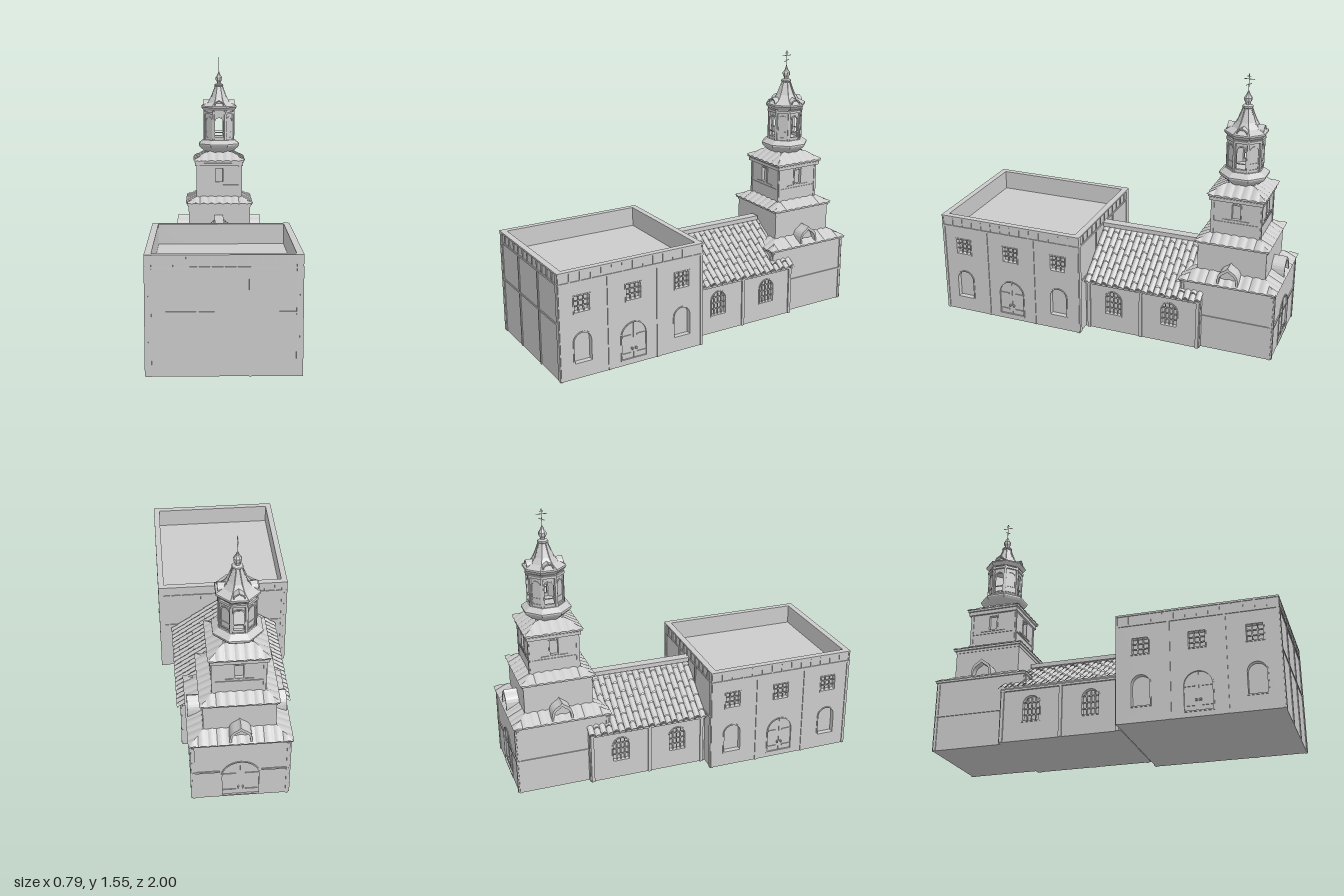
import * as THREE from 'three';

const mat = new THREE.MeshStandardMaterial({ color: 0xcccccc, flatShading: true, side: THREE.DoubleSide });

function add(parent, name, geo, x = 0, y = 0, z = 0) {
  const m = new THREE.Mesh(geo, mat);
  m.name = name;
  m.position.set(x, y, z);
  parent.add(m);
  return m;
}
// box standing on y
const box = (p, name, w, h, d, x, y, z) => add(p, name, new THREE.BoxGeometry(w, h, d), x, y + h / 2, z);

function group(parent, name, x = 0, y = 0, z = 0, turn = 0) {
  const g = new THREE.Group();
  g.name = name;
  g.position.set(x, y, z);
  g.rotation.y = turn;
  parent.add(g);
  return g;
}

const extrude = (shape, depth) => new THREE.ExtrudeGeometry(shape, { depth, bevelEnabled: false, curveSegments: 8 });

// rectangle or round-headed outline; u is the centre, y the foot
function outline(Type, { u = 0, y = 0, w, h, arch }, grow = 0) {
  const s = new Type(), r = w / 2 + grow, b = y - grow, t = y + h + grow;
  s.moveTo(u - r, b);
  s.lineTo(u + r, b);
  if (arch) {
    s.lineTo(u + r, t - r);
    s.absarc(u, t - r, r, 0, Math.PI, false);
  } else {
    s.lineTo(u + r, t);
    s.lineTo(u - r, t);
  }
  s.lineTo(u - r, b);
  return s;
}

// wall whose outer face is local z = 0, with framed, barred or door-filled openings
function wall(g, w, h, depth, openings) {
  const s = outline(THREE.Shape, { w, h });
  openings.forEach(o => s.holes.push(outline(THREE.Path, o)));
  add(g, 'wall', extrude(s, depth), 0, 0, -depth);
  openings.forEach(o => {
    frame(g, o);
    const n = o.bars || 0;
    for (let i = 1; i < n; i++) {
      const k = i / n - 0.5;
      box(g, 'windowBar', 0.006, o.h - (o.arch ? 0.012 : 0), 0.006, o.u + k * o.w, o.y, -0.01);
      box(g, 'windowBar', o.w, 0.006, 0.006, o.u, o.y + o.h * (k + 0.5) - 0.003, -0.01);
    }
    if (o.door) {
      add(g, 'doorLeaf', extrude(outline(THREE.Shape, o), 0.01), 0, 0, -0.015);
      box(g, 'doorSeam', 0.004, o.h, 0.004, o.u, o.y, -0.004);
      for (const s of [-1, 1]) {
        box(g, 'doorKnob', 0.008, 0.012, 0.014, o.u + s * 0.012, o.y + 0.05, 0.001);
        for (const f of [0.12, 0.62]) box(g, 'doorHinge', o.w * 0.35, 0.008, 0.005, o.u + s * o.w * 0.3, o.y + o.h * f, -0.003);
      }
    }
  });
}
function frame(g, o, t = 0.007) {
  const s = outline(THREE.Shape, o, t);
  s.holes.push(outline(THREE.Path, o));
  add(g, 'openingFrame', extrude(s, 0.004));
}

// square hipped roof skirt; ripples run straight up each slope and are cut at the hips
function hipRoof(parent, a, b, y0, y1) {
  const g = group(parent, 'hipRoof'), pitch = 0.05;
  for (let k = 0; k < 4; k++) {
    const geo = new THREE.PlaneGeometry(2 * a, 1, 72, 8), p = geo.attributes.position;
    for (let i = 0; i < p.count; i++) {
      const v = p.getY(i) + 0.5, half = a + (b - a) * v;
      const x = THREE.MathUtils.clamp(p.getX(i), -half, half);
      p.setXYZ(i, x, y0 + (y1 - y0) * v + 0.007 * Math.abs(Math.cos(x * Math.PI / pitch)), half);
    }
    add(g, 'roofSlope', geo).rotation.y = k * Math.PI / 2;
  }
  box(g, 'eaves', 2 * a - 0.012, 0.012, 2 * a - 0.012, 0, y0 - 0.008, 0);
  box(g, 'cornice', 2 * a - 0.03, 0.015, 2 * a - 0.03, 0, y0 - 0.022, 0);
}

// small keel-arched dormer facing +z, its front at local z = 0
function keel(Type, w, h) {
  const s = new Type();
  s.moveTo(-w, 0);
  s.bezierCurveTo(-w * 1.1, h * 0.85, -w * 0.4, h * 0.7, 0, h);
  s.bezierCurveTo(w * 0.4, h * 0.7, w * 1.1, h * 0.85, w, 0);
  s.lineTo(-w, 0);
  return s;
}
function dormer(parent, w, h, depth, x, y, z, turn) {
  const g = group(parent, 'dormer', x, y, z, turn), s = keel(THREE.Shape, w, h);
  s.holes.push(keel(THREE.Path, w * 0.82, h * 0.82));
  add(g, 'dormerHood', extrude(s, depth), 0, 0, -depth);
  add(g, 'dormerPanel', extrude(keel(THREE.Shape, w * 0.82, h * 0.82), depth * 0.6), 0, 0, -depth);
}

// eight-sided turned form; radii are measured to the flat sides
function octagon(parent, name, pts) {
  const k = 1 / Math.cos(Math.PI / 8);
  return add(parent, name, new THREE.LatheGeometry(pts.map(([r, y]) => new THREE.Vector2(r * k, y)), 8, Math.PI / 8));
}

// one slope of half-round tiles in columns, with alternate columns staggered
function tiledSlope(parent, s, z0, z1) {
  const rows = 4, columns = 20, step = (z1 - z0) / columns, g = group(parent, 'tiledSlope');
  for (let c = 0; c < columns; c++) {
    for (let r = 0; r <= rows; r++) {
      const geo = new THREE.PlaneGeometry(1, 1, 6, 1), p = geo.attributes.position;
      for (let i = 0; i < p.count; i++) {
        const low = p.getY(i) < 0, row = r + (low ? 1 : 0) - (c % 2 ? 0.5 : 0.1);
        const t = THREE.MathUtils.clamp(row / rows, 0, 1), across = p.getX(i) + 0.5;
        const y = 0.53 - 0.232 * t + 0.012 * Math.sin(across * Math.PI) + (low ? 0.005 : 0);
        p.setXYZ(i, s * 0.322 * t, y, z0 + (c + across) * step);
      }
      add(g, 'tile', geo);
    }
  }
}

function buildHall(root) {
  const g = group(root, 'hall', 0, 0, 0.56);
  box(g, 'hallCore', 0.72, 0.5, 0.82, 0, 0, 0);
  for (const s of [-1, 1]) {
    const side = group(g, 'hallSide', s * 0.387, 0, 0, s * Math.PI / 2), ops = [];
    for (const u of [-0.305, 0, 0.305]) {
      ops.push({ u, y: 0.38, w: 0.088, h: 0.09, bars: 3 });
      ops.push(u ? { u, y: 0.09, w: 0.1, h: 0.17, arch: true } : { u, y: 0.035, w: 0.15, h: 0.21, arch: true, door: true });
    }
    wall(side, 0.88, 0.615, 0.03, ops);
    trim(side, 0.88, [-0.43, -0.15, 0.15, 0.43], 14);
    const end = group(g, 'hallEnd', 0, 0, s * 0.436, s > 0 ? 0 : Math.PI);
    wall(end, 0.72, 0.615, 0.03, []);
    trim(end, 0.774, [-0.38, -0.13, 0.13, 0.38], 12);
    box(end, 'middleBand', 0.77, 0.01, 0.004, 0, 0.32, 0.002);
  }
}
// pilasters and panelled frieze on a hall face
function trim(g, w, posts, n) {
  posts.forEach(u => box(g, 'pilaster', 0.014, 0.545, 0.005, u, 0, 0.0025));
  box(g, 'friezeBand', w, 0.01, 0.005, 0, 0.545, 0.0025);
  box(g, 'topBand', w, 0.01, 0.005, 0, 0.605, 0.0025);
  for (let i = 0; i <= n; i++) box(g, 'friezeBlock', 0.008, 0.05, 0.004, (i / n - 0.5) * (w - 0.012), 0.555, 0.002);
}

function buildNave(root) {
  const g = group(root, 'nave'), L = 0.695, zc = -0.2275;
  const s = new THREE.Shape([[-0.27, 0], [0.27, 0], [0.27, 0.325], [0, 0.522], [-0.27, 0.325]].map(p => new THREE.Vector2(...p)));
  add(g, 'naveCore', extrude(s, L), 0, 0, zc - L / 2);
  for (const k of [-1, 1]) {
    const side = group(g, 'naveSide', k * 0.293, 0, zc, k * Math.PI / 2);
    const at = z => -k * (z - zc);
    wall(side, L, 0.31, 0.025, [-0.05, -0.39].map(z => ({ u: at(z), y: 0.11, w: 0.095, h: 0.142, arch: true, bars: 4 })));
    for (const z of [0.1, -0.22, -0.56]) box(side, 'pilaster', 0.018, 0.3, 0.008, at(z), 0, 0.004);
    box(side, 'eavesBand', L, 0.012, 0.01, 0, 0.288, 0.005);
    tiledSlope(g, k, -0.58, 0.12);
  }
  box(g, 'ridgeCap', 0.055, 0.025, 0.63, -0.004, 0.53, -0.195);
}

function buildTower(root) {
  const g = group(root, 'tower', 0, 0, -0.715), Q = Math.PI / 2;
  // square tiers
  box(g, 'baseCore', 0.49, 0.4, 0.49, 0, 0, 0);
  box(g, 'secondTier', 0.39, 0.25, 0.39, 0, 0.38, 0);
  box(g, 'thirdCore', 0.25, 0.28, 0.25, 0, 0.62, 0);
  hipRoof(g, 0.28, 0.19, 0.408, 0.455);
  hipRoof(g, 0.213, 0.14, 0.625, 0.662);
  hipRoof(g, 0.165, 0.078, 0.893, 0.945);
  for (let k = 0; k < 4; k++) {
    const a = k * Q, sx = Math.sin(a), cz = Math.cos(a);
    const base = group(g, 'baseFace', sx * 0.266, 0, cz * 0.266, a);
    wall(base, 0.532, 0.4, 0.021, k === 2 ? [{ u: 0, y: 0.012, w: 0.2, h: 0.25, arch: true, door: true }] : []);
    if (k !== 2) box(base, 'baseBand', 0.53, 0.01, 0.006, 0, 0.195, 0.003);
    else for (const s of [-1, 1]) box(base, 'baseBand', 0.15, 0.01, 0.006, s * 0.188, 0.195, 0.003);
    for (const s of [-1, 1]) box(base, 'cornerStrip', 0.015, 0.39, 0.005, s * 0.255, 0, 0.0025);
    // keel dormers, except above the nave
    if (k) dormer(g, 0.06, 0.112, 0.09, sx * 0.27, 0.41, cz * 0.27, a);
    const upper = group(g, 'thirdFace', sx * 0.141, 0.64, cz * 0.141, a);
    wall(upper, 0.282, 0.25, 0.016, [{ u: 0, y: 0.12, w: 0.046, h: 0.085 }]);
    box(upper, 'sillBand', 0.15, 0.007, 0.005, 0, 0.109, 0.0025);
    box(upper, 'lowerBand', 0.26, 0.006, 0.004, 0, 0.094, 0.002);
    for (const s of [-1, 1]) box(upper, 'pilaster', 0.014, 0.24, 0.004, s * 0.132, 0, 0.002);
    box(upper, 'upperCornice', 0.305, 0.018, 0.012, 0, 0.222, 0.006);
  }
  // flared octagonal gallery
  octagon(g, 'gallery', [[0.08, 0.9], [0.082, 0.94], [0.1, 0.955], [0.122, 0.975], [0.13, 0.988], [0.13, 0.996], [0.098, 1.02], [0, 1.02]]);
  // belfry, open to four sides with blind panels between
  const side = 0.186 * Math.tan(Math.PI / 8);
  for (let k = 0; k < 8; k++) {
    const a = k * Math.PI / 4;
    const f = group(g, 'belfryFace', Math.sin(a) * 0.091, 1.01, Math.cos(a) * 0.091, a);
    const o = { u: 0, y: 0.028, w: 0.052, h: 0.126, arch: true };
    if (k % 2) {
      wall(f, side, 0.21, 0.012, []);
      frame(f, o);
    } else wall(f, side, 0.21, 0.012, [o]);
    box(f, 'belfryRail', 0.052, 0.005, 0.006, 0, 0.058, 0);
    box(f, 'belfryCornice', side + 0.006, 0.014, 0.012, 0, 0.178, 0.004);
    const b = a + Math.PI / 8, r = 0.091 / Math.cos(Math.PI / 8);
    box(g, 'belfryPost', 0.014, 0.2, 0.012, Math.sin(b) * r, 1.015, Math.cos(b) * r).rotation.y = b;
    if (k % 2 === 0) dormer(g, 0.03, 0.042, 0.06, Math.sin(a) * 0.102, 1.235, Math.cos(a) * 0.102, a);
  }
  // concave spire with neck and bulb
  octagon(g, 'spire', [[0, 1.21], [0.098, 1.21], [0.113, 1.23], [0.111, 1.238], [0.072, 1.258], [0.051, 1.29],
    [0.035, 1.33], [0.023, 1.362], [0.029, 1.368], [0.027, 1.376], [0.013, 1.382], [0.013, 1.392], [0.02, 1.404],
    [0.021, 1.42], [0.01, 1.437], [0.004, 1.455], [0, 1.46]]);
  // spire ribs
  for (let k = 0; k < 8; k++) {
    const b = (k + 0.5) * Math.PI / 4, c = Math.sin(b), d = Math.cos(b);
    const pts = [[0.12, 1.237], [0.078, 1.258], [0.055, 1.29], [0.038, 1.33], [0.025, 1.364]];
    const path = new THREE.CatmullRomCurve3(pts.map(([r, y]) => new THREE.Vector3(c * r, y, d * r)));
    add(g, 'spireRib', new THREE.TubeGeometry(path, 8, 0.003, 4));
  }
  // cross
  const cross = group(g, 'cross');
  box(cross, 'crossStem', 0.003, 0.1, 0.003, 0, 1.45, 0);
  box(cross, 'crossArm', 0.003, 0.003, 0.06, 0, 1.52, 0);
  box(cross, 'upperArm', 0.003, 0.003, 0.02, 0, 1.535, 0);
  box(cross, 'lowerArm', 0.003, 0.003, 0.034, 0, 1.49, 0).rotation.x = 0.4;
}

export function createModel() {
  const root = new THREE.Group();
  root.name = 'church';
  buildHall(root);
  buildNave(root);
  buildTower(root);
  return root;
}
